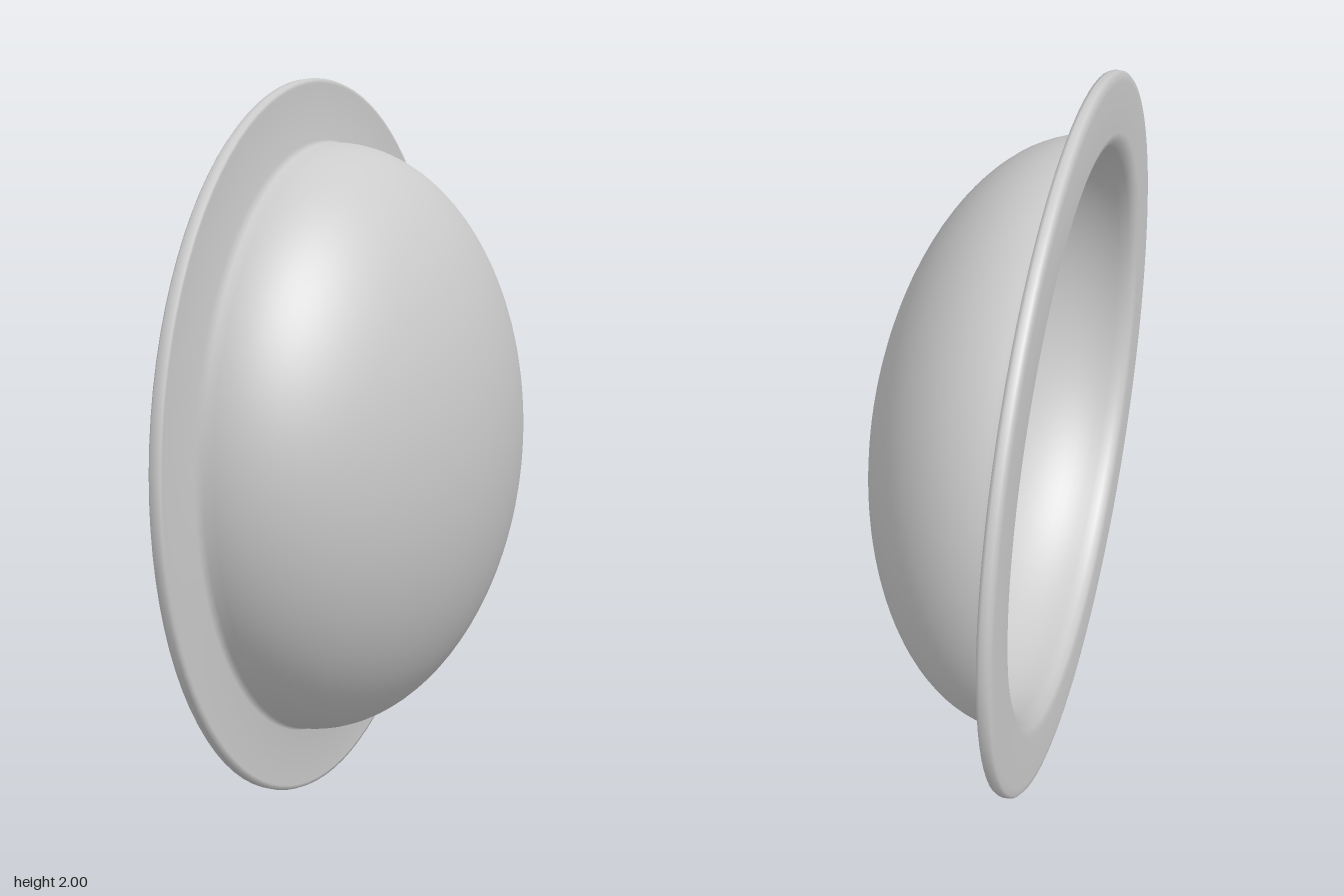
import * as THREE from 'three';

// Quarter-ellipse wall from the mouth (radius r, height y0) to the apex (height y1)
function domeArc(r, y0, y1, steps = 28) {
  const pts = [];
  for (let i = 0; i <= steps; i++) {
    const a = (i / steps) * Math.PI / 2;
    pts.push(new THREE.Vector2(i === steps ? 0 : r * Math.cos(a), y0 + (y1 - y0) * Math.sin(a)));
  }
  return pts;
}

export function createModel() {
  const group = new THREE.Group();
  const material = new THREE.MeshStandardMaterial({ color: 0xcccccc });

  // Closed section: hollow inside, rounded flange, outer dome
  const inside = domeArc(0.795, -0.22, 0.24).reverse();
  const flange = [
    [0.797, -0.25], [0.81, -0.268], [0.835, -0.276], [0.97, -0.276], [0.99, -0.273],
    [0.997, -0.266], [0.998, -0.25], [0.994, -0.241], [0.985, -0.24], [0.832, -0.24],
  ].map(([r, y]) => new THREE.Vector2(r, y));
  const outside = domeArc(0.825, -0.22, 0.275);

  const bowl = new THREE.Mesh(
    new THREE.LatheGeometry([...inside, ...flange, ...outside], 96), material);
  bowl.name = 'flangedBowl';
  // Dome points to +x, with a very slight lean
  bowl.rotation.z = -Math.PI / 2 + 0.005;
  bowl.position.y = 1;
  group.add(bowl);
  return group;
}
